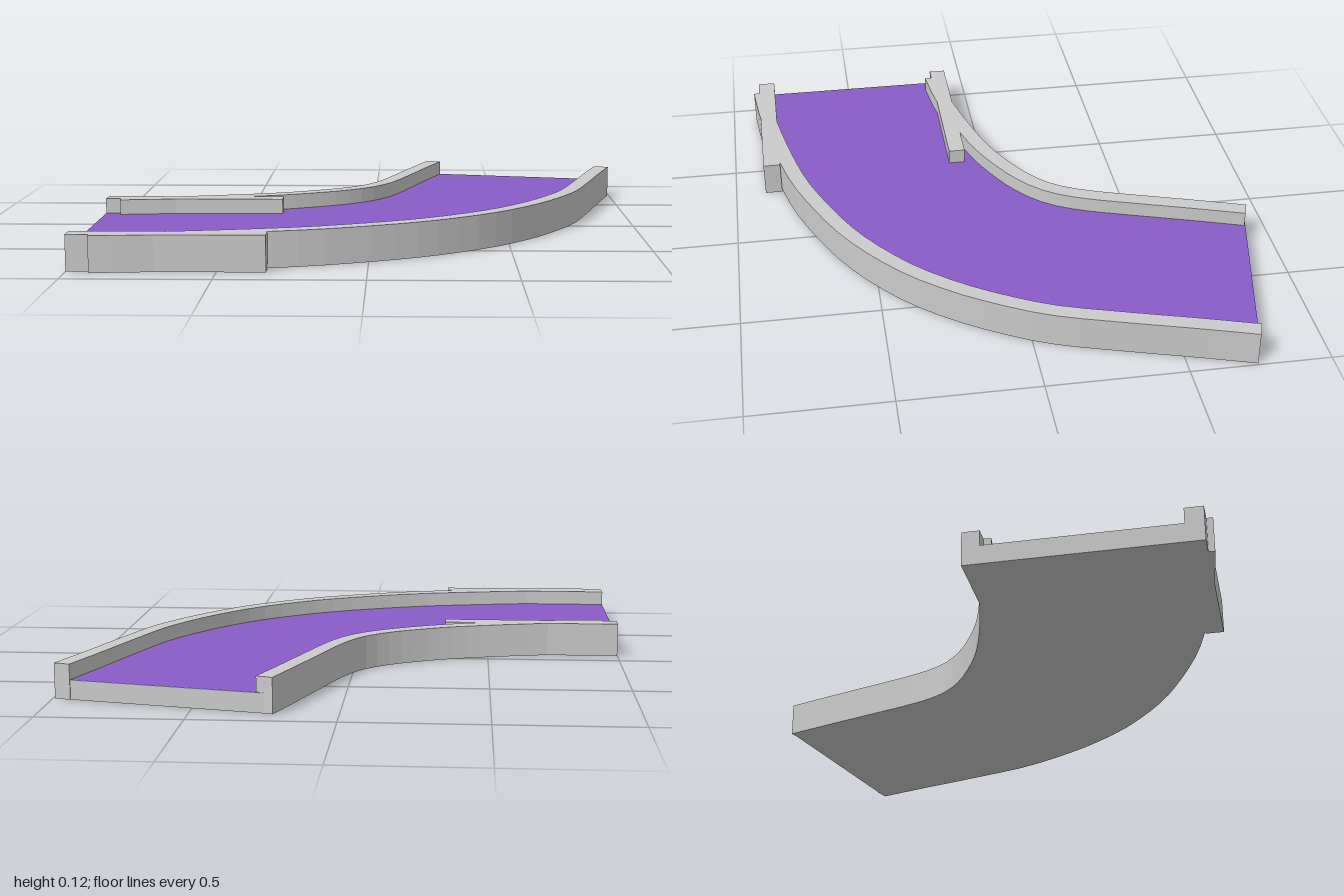
import * as THREE from 'three';

const WALL_TOP = 0.125, FLOOR_TOP = 0.07, THICK = 0.06, STEPS = 32;

// Paths as (x, z), from the left end round the bend to the far end
const OUTER = [[-0.92, 0.907], [-0.67, 0.88], [-0.33, 0.815], [-0.1, 0.747], [0.19, 0.615], [0.42, 0.45],
  [0.57, 0.29], [0.68, 0.13], [0.78, -0.06], [0.86, -0.305], [0.93, -0.54], [0.993, -0.74]];
const INNER = [[-0.95, 0.117], [-0.72, 0.086], [-0.4, 0.004], [-0.21, -0.08], [-0.09, -0.16], [-0.02, -0.24],
  [0.035, -0.355], [0.1, -0.55], [0.16, -0.735], [0.22, -0.912]];

// Samples a path, shifted sideways towards the channel
function offsetLine(points, distance) {
  const curve = new THREE.SplineCurve(points.map(([x, z]) => new THREE.Vector2(x, z)));
  return Array.from({ length: STEPS + 1 }, (_, i) => {
    const p = curve.getPointAt(i / STEPS), t = curve.getTangentAt(i / STEPS);
    return [p.x + t.y * distance, p.y - t.x * distance];
  });
}

const outline = (points) => new THREE.Shape(points.map(([x, z]) => new THREE.Vector2(x, -z)));

// Raises a ground-plan outline to a given height
function slab(points, height) {
  return new THREE.ExtrudeGeometry(outline(points), { depth: height, bevelEnabled: false }).rotateX(-Math.PI / 2);
}

export function createModel() {
  const group = new THREE.Group();
  const grey = new THREE.MeshStandardMaterial({ color: 0xcccccc, flatShading: true });
  const purple = new THREE.MeshStandardMaterial({ color: 0x8a5cc8 });
  const add = (name, geometry, material = grey) => {
    const mesh = new THREE.Mesh(geometry, material);
    mesh.name = name;
    group.add(mesh);
    return mesh;
  };

  // Curved side walls
  for (const [name, path, side] of [['outerWall', OUTER, 1], ['innerWall', INNER, -1]]) {
    add(name, slab([...offsetLine(path, 0), ...offsetLine(path, side * THICK).reverse()], WALL_TOP));
  }

  // Straight wall pieces at the left end
  for (const [name, z0, z1] of [['outerStraightWall', 0.82, 0.885], ['innerStraightWall', 0.088, 0.15]]) {
    add(name, slab([[-1, z0], [-0.335, z0], [-0.335, z1], [-1, z1]], WALL_TOP));
  }

  // Base and coloured track floor, both running under the walls
  const plan = [[-1, 0.85], ...offsetLine(OUTER, THICK / 2), ...offsetLine(INNER, -THICK / 2).reverse(), [-1, 0.12]];
  add('base', slab(plan, FLOOR_TOP - 0.001));
  const floor = add('trackFloor', new THREE.ShapeGeometry(outline(plan)).rotateX(-Math.PI / 2), purple);
  floor.position.y = FLOOR_TOP;

  return group;
}
